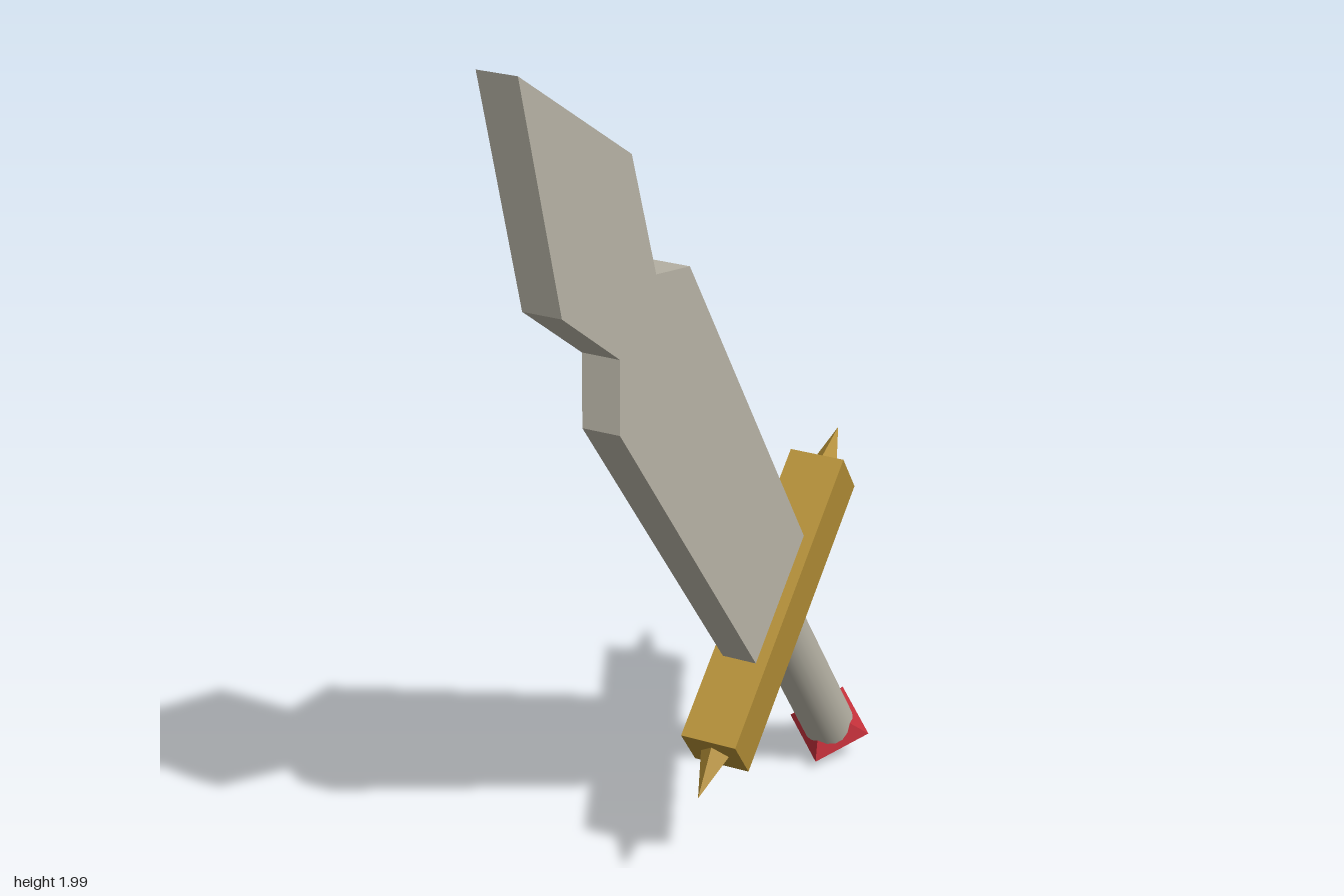
import * as THREE from 'three';

export function createModel() {
  const model = new THREE.Group();
  model.name = 'sword';

  const mat = (name, color, flatShading = true) => {
    const m = new THREE.MeshStandardMaterial({ color, flatShading });
    m.name = name;
    return m;
  };
  const steel = mat('steel', 0xbcb8aa, false);
  const gold = mat('gold', 0xb08c35);
  const ruby = mat('ruby', 0xc4303a);

  const add = (parent, name, geometry, material) => {
    const mesh = new THREE.Mesh(geometry, material);
    mesh.name = name;
    parent.add(mesh);
    return mesh;
  };

  // Blade: notched outline in (z, y), extruded across x
  const outline = [
    [0.725, 2.0], [0.605, 1.56], [0.403, 1.403], [0.407, 1.265], [-0.17, 0.505],
    [-0.405, 0.667], [0.13, 1.462], [0.263, 1.5], [0.35, 1.745],
  ];
  const shape = new THREE.Shape(outline.map(([z, y]) => new THREE.Vector2(z, y)));
  const bladeGeometry = new THREE.ExtrudeGeometry(shape, { depth: 0.07, bevelEnabled: false });
  bladeGeometry.translate(0, 0, -0.035).rotateY(-Math.PI / 2);
  add(model, 'blade', bladeGeometry, steel);

  // Hilt: built upright around the guard centre, then tilted along the sword's axis
  const hilt = new THREE.Group();
  hilt.name = 'hilt';
  hilt.position.set(0, 0.544, -0.318);
  hilt.rotation.x = 0.62;
  model.add(hilt);

  add(hilt, 'guard', new THREE.BoxGeometry(0.114, 0.111, 0.645), gold);

  // Spikes at both ends of the guard
  for (const side of [1, -1]) {
    const spike = add(hilt, side > 0 ? 'frontSpike' : 'backSpike',
      new THREE.ConeGeometry(0.03, 0.098, 4), gold);
    spike.rotation.x = side * Math.PI / 2;
    spike.position.z = side * 0.37;
  }

  // Grip runs from the guard into the pommel
  const grip = add(hilt, 'grip', new THREE.CylinderGeometry(0.055, 0.055, 0.55, 20), steel);
  grip.position.y = -0.285;

  // Pommel gem
  const pommel = add(hilt, 'pommel', new THREE.OctahedronGeometry(0.09), ruby);
  pommel.position.y = -0.568;

  return model;
}
